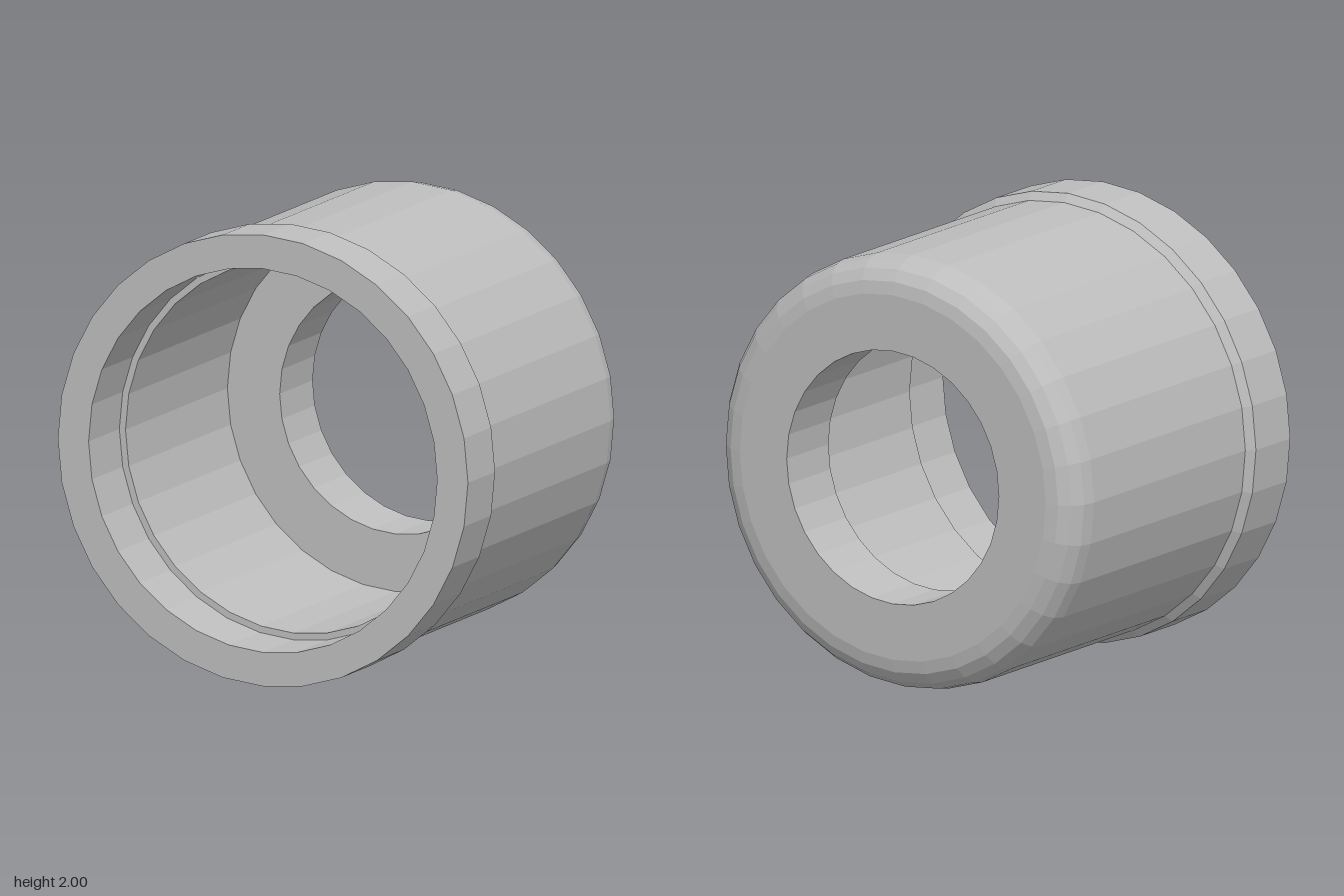
import * as THREE from 'three';

const SIDES = 32;
const BACK = -0.78, FRONT = 0.78;

export function createModel() {
  const group = new THREE.Group();
  group.name = 'flangedBushing';
  const grey = new THREE.MeshStandardMaterial({ color: 0xbdbdbd });
  grey.name = 'plain grey';

  // Faceted ring surface from [radius, z] points, turned about the z axis.
  // Outer walls run back to front, inner walls run front to back.
  function ring(name, profile) {
    const points = profile.map(([r, z]) => new THREE.Vector2(r, z));
    const geometry = new THREE.LatheGeometry(points, SIDES).rotateX(Math.PI / 2).toNonIndexed();
    geometry.computeVertexNormals();
    const mesh = new THREE.Mesh(geometry, grey);
    mesh.name = name;
    mesh.position.y = 1;
    group.add(mesh);
  }

  // Rounded back corner
  const bodyR = 0.965, fillet = 0.15, steps = 4;
  const corner = [];
  for (let i = 0; i <= steps; i++) {
    const a = (i / steps) * Math.PI / 2;
    corner.push([bodyR - fillet + fillet * Math.sin(a), BACK + fillet - fillet * Math.cos(a)]);
  }

  ring('backFace', [[0.565, BACK], corner[0]]);
  ring('outerBody', [...corner, [bodyR, 0.495]]);
  // Raised collar with a chamfered shoulder and the flat front rim
  ring('collar', [[bodyR, 0.495], [1, 0.525], [1, FRONT], [0.85, FRONT]]);
  // Counterbore with a small step, then the deep cavity down to its floor
  ring('counterbore', [[0.85, FRONT], [0.85, 0.49], [0.82, 0.49]]);
  ring('cavity', [[0.82, 0.49], [0.82, -0.47], [0.565, -0.47]]);
  // Through hole in the back wall
  ring('bore', [[0.565, -0.47], [0.565, BACK]]);

  return group;
}
